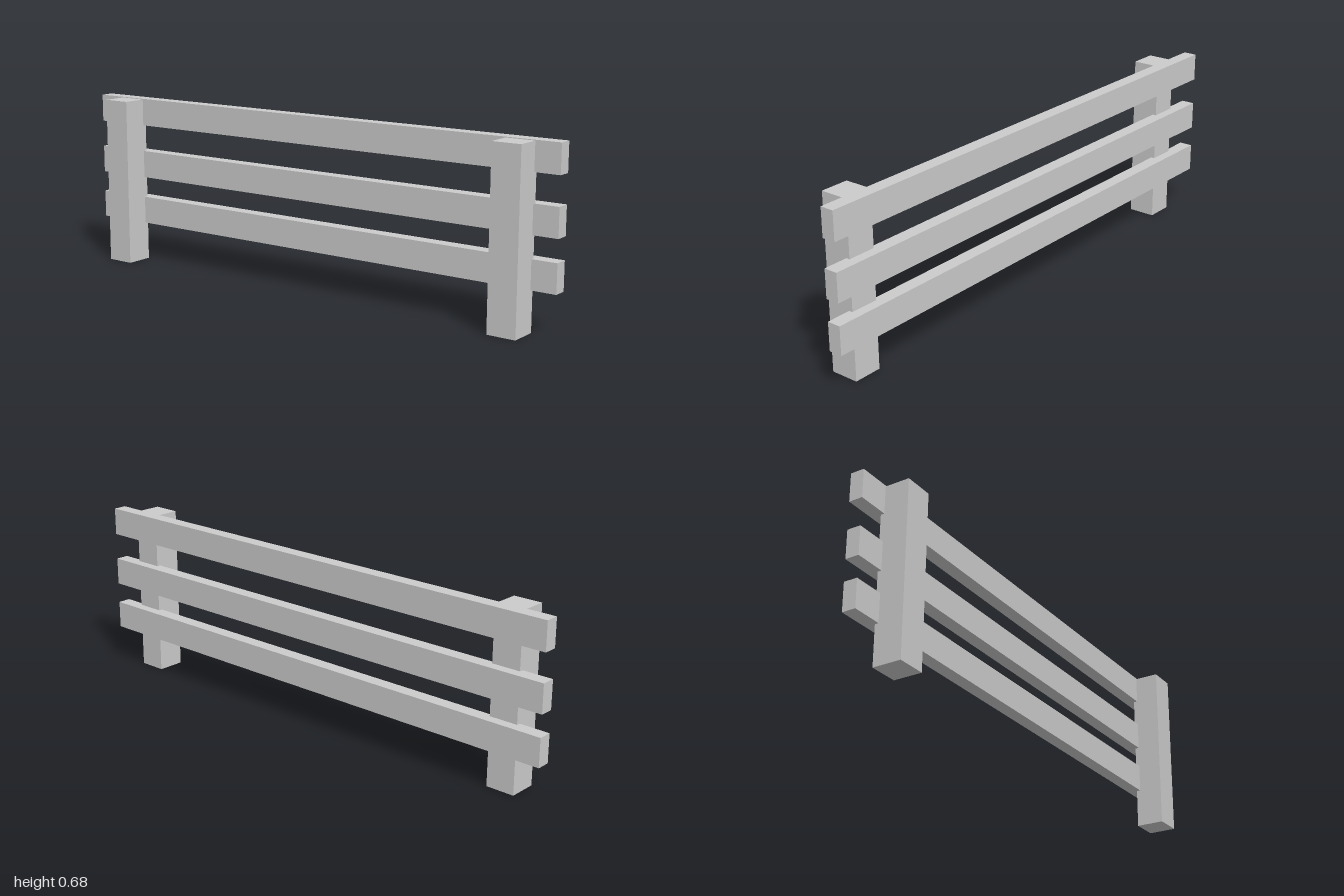
import * as THREE from 'three';

export function createModel() {
  const model = new THREE.Group();
  const material = new THREE.MeshStandardMaterial({ color: 0xcccccc, flatShading: true });

  // The fence runs straight in its own frame and is then turned about y
  const fence = new THREE.Group();
  fence.name = 'fence';
  fence.position.z = -0.025;
  fence.rotation.y = -0.4055;
  model.add(fence);

  const addBox = (name, size, x, bottom, z) => {
    const mesh = new THREE.Mesh(new THREE.BoxGeometry(...size), material);
    mesh.name = name;
    mesh.position.set(x, bottom + size[1] / 2, z);
    fence.add(mesh);
  };

  // Three horizontal rails
  const rails = { lowerRail: 0.156, middleRail: 0.351, upperRail: 0.57 };
  for (const [name, bottom] of Object.entries(rails)) {
    addBox(name, [2.153, 0.111, 0.054], 0, bottom, 0);
  }

  // Two posts, notched around the front half of the rails
  addBox('rightPost', [0.1135, 0.678, 0.112], -0.899, 0, 0.068);
  addBox('leftPost', [0.1135, 0.678, 0.112], 0.921, 0, 0.068);

  return model;
}
